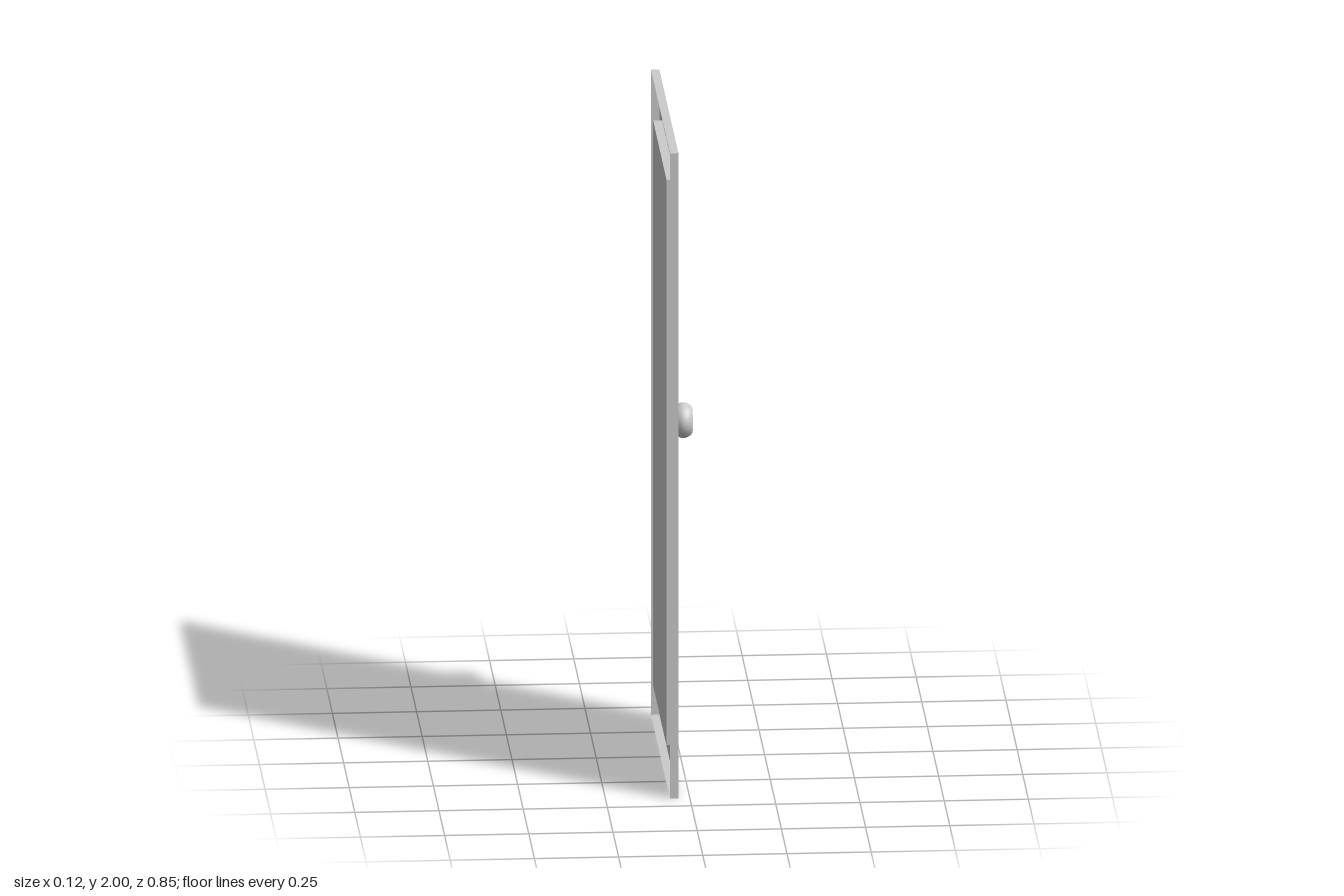
import * as THREE from 'three';
import { toCreasedNormals } from 'three/addons/utils/BufferGeometryUtils.js';

const HALF_W = 0.423, HEIGHT = 2;
const PANEL = { halfW: 0.3, bottom: 0.128, top: 1.88 };
const FACE_X = -0.034, RIM_X = -0.059, POCKET_X = -0.061;

const solid = new THREE.MeshStandardMaterial({ color: 0xcccccc });
const sheet = new THREE.MeshStandardMaterial({ color: 0xcccccc, side: THREE.DoubleSide });

function part(name, geometry, material, parent) {
  const mesh = new THREE.Mesh(geometry, material);
  mesh.name = name;
  parent.add(mesh);
  return mesh;
}

function rectangle(PathType, halfW, bottom, top) {
  return new PathType([
    new THREE.Vector2(-halfW, bottom), new THREE.Vector2(halfW, bottom),
    new THREE.Vector2(halfW, top), new THREE.Vector2(-halfW, top),
  ]);
}

// Four thin walls around a rectangle; outward is 1 or -1
function walls(name, halfW, bottom, top, back, front, outward, parent) {
  const depth = front - back, z = (front + back) / 2, midY = (bottom + top) / 2;
  for (const s of [-1, 1]) {
    const side = part(name, new THREE.PlaneGeometry(depth, top - bottom), sheet, parent);
    side.position.set(s * halfW, midY, z);
    side.rotation.y = s * outward * Math.PI / 2;
    const end = part(name, new THREE.PlaneGeometry(halfW * 2, depth), sheet, parent);
    end.position.set(0, s > 0 ? top : bottom, z);
    end.rotation.x = -s * outward * Math.PI / 2;
  }
}

export function createModel() {
  const model = new THREE.Group();
  model.name = 'cabinetDoor';

  // Door: a pressed sheet, open at the back, drawn facing z and turned to face +x
  const door = new THREE.Group();
  door.name = 'door';
  door.rotation.y = Math.PI / 2;
  model.add(door);

  const frameShape = rectangle(THREE.Shape, HALF_W, 0, HEIGHT);
  frameShape.holes.push(rectangle(THREE.Path, PANEL.halfW, PANEL.bottom, PANEL.top));
  part('frameFace', new THREE.ShapeGeometry(frameShape), sheet, door).position.z = FACE_X;
  walls('outerRim', HALF_W, 0, HEIGHT, RIM_X, FACE_X, 1, door);

  // Recessed panel
  const panelShape = rectangle(THREE.Shape, PANEL.halfW, PANEL.bottom, PANEL.top);
  part('recessedPanel', new THREE.ShapeGeometry(panelShape), sheet, door).position.z = POCKET_X;
  walls('panelReveal', PANEL.halfW, PANEL.bottom, PANEL.top, POCKET_X, FACE_X, -1, door);

  // Knob, turned around the x axis
  const knob = new THREE.Group();
  knob.name = 'knob';
  knob.position.set(0, 0.93, -0.363);
  knob.rotation.z = -Math.PI / 2;
  model.add(knob);

  const turned = (name, points) => part(name, toCreasedNormals(
    new THREE.LatheGeometry(points.map(([r, x]) => new THREE.Vector2(r, x)), 24), 0.6), solid, knob);

  turned('knobPlate', [[0, FACE_X], [0.051, FACE_X], [0.051, -0.016], [0, -0.016]]);
  turned('knobNeck', [[0.027, -0.016], [0.027, 0.012]]);
  turned('knobHandle', [
    [0.027, -0.016], [0.038, 0.006], [0.042, 0.01], [0.052, 0.023],
    [0.053, 0.032], [0.052, 0.042], [0.045, 0.054], [0.038, 0.059], [0, 0.061],
  ]);
  return model;
}
